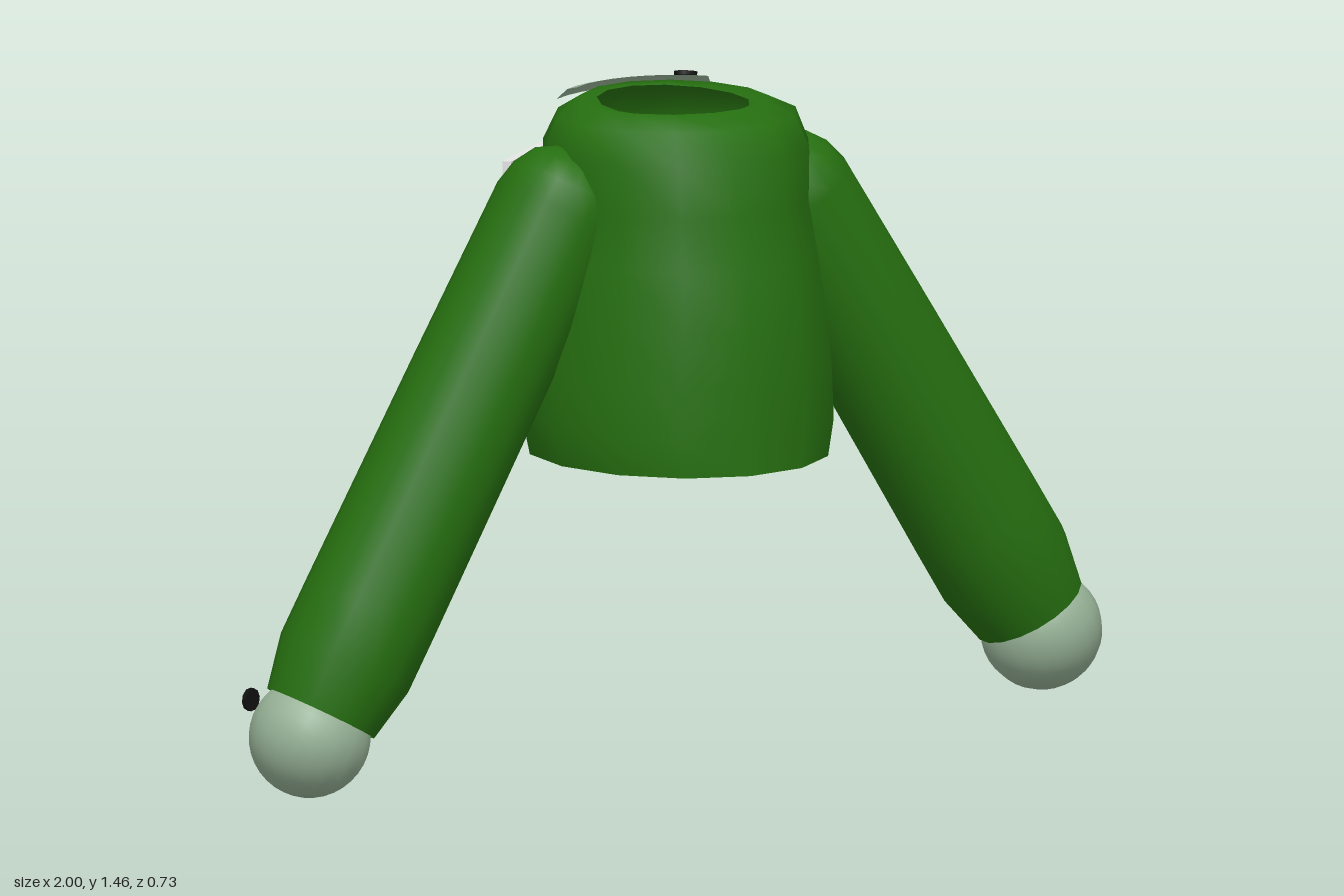
import * as THREE from 'three';

const mat = (name, color, side = THREE.FrontSide) => {
  const m = new THREE.MeshStandardMaterial({ color, side });
  m.name = name;
  return m;
};

// Smooth surface through rows of points; closed joins each row into a ring
function gridGeometry(rows, closed = false) {
  const n = rows[0].length, index = [];
  for (let i = 0; i < rows.length - 1; i++) {
    for (let j = 0; j < (closed ? n : n - 1); j++) {
      const k = (j + 1) % n, a = i * n + j, b = i * n + k;
      index.push(a, b, a + n, b, b + n, a + n);
    }
  }
  const g = new THREE.BufferGeometry();
  g.setAttribute('position', new THREE.Float32BufferAttribute(rows.flat(2), 3));
  g.setIndex(index);
  g.computeVertexNormals();
  return g;
}

export function createModel() {
  const green = mat('dark green cloth', 0x266f10, THREE.DoubleSide);
  const pale = mat('pale green trim', 0x96b196, THREE.DoubleSide);
  const black = mat('black', 0x101010);
  const white = mat('white', 0xe6e6e6);
  const model = new THREE.Group();
  const add = (name, geometry, material, parent = model) => {
    const mesh = new THREE.Mesh(geometry, material);
    mesh.name = name;
    parent.add(mesh);
    return mesh;
  };

  // Body shell: height, half width, front depth, back depth
  const sections = [
    [0.69, 0.32, 0.36, 0.335], [0.77, 0.337, 0.36, 0.342], [0.88, 0.333, 0.356, 0.345],
    [1.0, 0.32, 0.35, 0.346], [1.13, 0.3, 0.33, 0.333], [1.24, 0.283, 0.303, 0.315],
    [1.35, 0.288, 0.296, 0.3], [1.42, 0.262, 0.25, 0.25], [1.448, 0.2, 0.18, 0.225],
    [1.44, 0.158, 0.16, 0.215],
  ];
  const sides = 14;
  const bodyRows = sections.map(([y, rx, front, back], row) =>
    Array.from({ length: sides }, (_, j) => {
      const a = (j / sides) * Math.PI * 2, c = Math.cos(a);
      const lift = row === 0 && c < -0.8 ? 0.025 : 0;
      return [rx * Math.sin(a), y + lift, c * (c > 0 ? front : back)];
    }));
  add('body', gridGeometry(bodyRows, true), green);

  // Button strip down the back
  const stripPath = [
    [0.718, 0.35], [0.77, 0.353], [0.88, 0.356], [1.0, 0.357], [1.13, 0.344],
    [1.24, 0.326], [1.35, 0.312], [1.385, 0.293], [1.428, 0.268], [1.448, 0.24],
  ];
  add('buttonStrip', gridGeometry(stripPath.map(([y, z]) =>
    [[0.038, y, 0.008 - z], [0, y, -z], [-0.038, y, 0.008 - z]])), pale);

  // Collar band around the back of the neck
  const collarRows = [[0.275, 1.428], [0.252, 1.451], [0.228, 1.457]].map(([r, y]) =>
    Array.from({ length: 9 }, (_, j) => {
      const a = Math.PI + (j / 8 - 0.5) * 1.46;
      return [r * Math.sin(a), y, r * Math.cos(a)];
    }));
  add('collarBand', gridGeometry(collarRows), pale);

  // Buttons: position and facing direction
  const discGeometry = new THREE.CylinderGeometry(0.025, 0.025, 0.009, 10);
  const button = (name, position, facing) => {
    const b = add(name, discGeometry, black);
    b.position.set(...position);
    b.quaternion.setFromUnitVectors(new THREE.Vector3(0, 1, 0), new THREE.Vector3(...facing).normalize());
  };
  [[1.28, 0.324], [1.15, 0.344], [1.0, 0.36], [0.85, 0.358]].forEach(([y, z]) =>
    button('backButton', [0, y, -z], [0, 0.08, -1]));
  button('collarButton', [0.13, 1.455, -0.22], [0.15, 1, -0.25]);
  button('rightCuffButton', [-0.945, 0.2, -0.135], [-0.42, 0, -0.9]);
  button('leftCuffButton', [0.928, 0.32, -0.137], [0.42, 0, -0.9]);

  // Sleeves with rounded shoulders and rounded pale ends
  const sleeve = (name, top, end) => {
    const group = new THREE.Group();
    group.name = name;
    const from = new THREE.Vector3(...top), to = new THREE.Vector3(...end);
    const len = from.distanceTo(to);
    group.position.copy(from);
    group.quaternion.setFromUnitVectors(new THREE.Vector3(0, -1, 0), to.sub(from).normalize());
    const profile = [
      [0.126, 0.055 - len], [0.15, 0.175 - len], [0.15, 0.3 - len], [0.146, -0.4],
      [0.141, 0], [0.128, 0.055], [0.1, 0.1], [0.055, 0.126], [0, 0.135],
    ].map(([r, y]) => new THREE.Vector2(r, y));
    add('sleeveTube', new THREE.LatheGeometry(profile, 18), green, group);
    // Rounded end, cut off where it meets the sleeve
    const cap = new THREE.SphereGeometry(0.131, 20, 12, 0, Math.PI * 2, 1.1, Math.PI - 1.1);
    add('sleeveEnd', cap, pale, group).position.y = -len;
    model.add(group);
  };
  sleeve('rightSleeve', [-0.28, 1.23, -0.006], [-0.869, 0.135, -0.005]);
  sleeve('leftSleeve', [0.27, 1.22, -0.006], [0.869, 0.225, -0.005]);

  // Plain tag on the back of the right chest
  const tag = add('tag', new THREE.BoxGeometry(0.235, 0.09, 0.02), white);
  tag.position.set(-0.235, 1.265, -0.25);
  tag.rotation.y = Math.PI + 0.76;

  return model;
}
